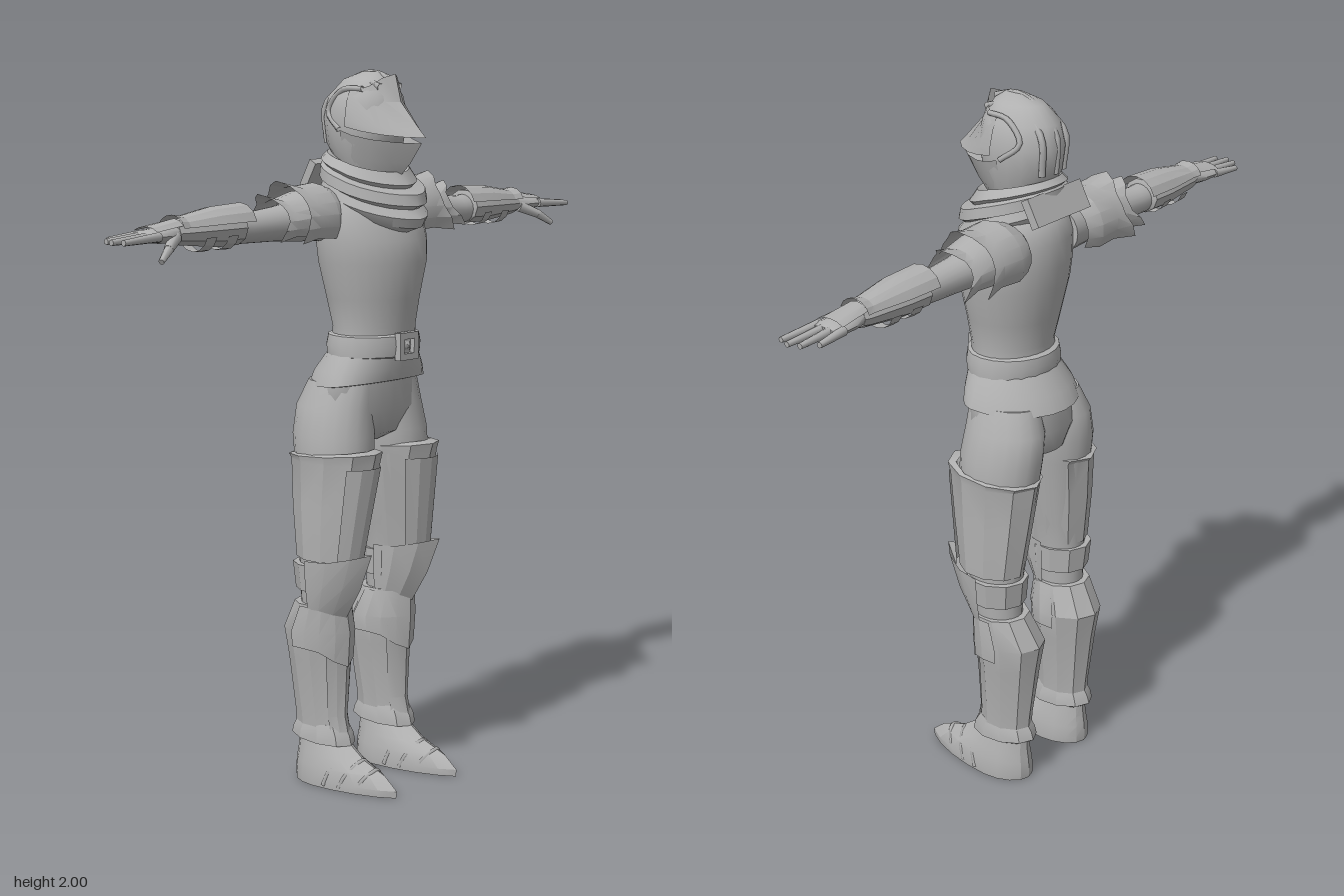
import * as THREE from 'three';
import { toCreasedNormals } from 'three/addons/utils/BufferGeometryUtils.js';

const steel = new THREE.MeshStandardMaterial({ color: 0xb0b0b0, side: THREE.DoubleSide });
steel.name = 'grey steel';

const add = (group, name, geometry) => {
  const mesh = new THREE.Mesh(geometry, steel);
  mesh.name = name;
  group.add(mesh);
  return mesh;
};

// Skin of cross-sections, rows upwards: [y, cx, cz, halfWidth, front, back, tilt, push, lift].
// Angle 0 is the front; mid and span select an arc; push and lift raise points round the arc.
function loft(rows, { n = 20, mid = 0, span = Math.PI * 2, sharp = 0, k = 1, crease = 0.9, cap = true, alongX = false } = {}) {
  const full = span > 6.28, pos = [], index = [];
  const cols = full ? n : n + 1;
  for (const [y, cx, cz, rx, zf, zb, tilt = 0, push = 0, lift = 0] of rows) {
    for (let j = 0; j < cols; j++) {
      const a = mid + (full ? 0 : -span / 2) + (span * j) / n;
      const c = Math.cos(a), s = Math.sin(a);
      const wave = Math.cos(k * (a - mid));
      const p = (k > 1 ? Math.abs(wave) : Math.max(0, wave)) ** 4;
      const front = c * (1 - sharp) + (1 - Math.abs(s)) * sharp;
      const m = 1 + lift * p;
      pos.push(cx + rx * s * m, y + tilt * c + push * p, cz + (c > 0 ? zf * front : zb * c) * m);
    }
  }
  for (let i = 0; i < rows.length - 1; i++) {
    for (let j = 0; j < n; j++) {
      const a = i * cols + j, b = i * cols + ((j + 1) % cols);
      index.push(a, b, a + cols, b, b + cols, a + cols);
    }
  }
  if (full && cap) {
    for (const i of [0, rows.length - 1]) {
      const centre = pos.length / 3;
      pos.push(rows[i][1], rows[i][0], rows[i][2]);
      for (let j = 0; j < n; j++) {
        const a = i * cols + j, b = i * cols + ((j + 1) % cols);
        if (i) index.push(a, b, centre);
        else index.push(b, a, centre);
      }
    }
  }
  const g = new THREE.BufferGeometry();
  g.setAttribute('position', new THREE.Float32BufferAttribute(pos, 3));
  g.setIndex(index);
  if (alongX) g.rotateZ(-Math.PI / 2);
  return toCreasedNormals(g, crease);
}

function tube(points, r, sides = 6) {
  const curve = new THREE.CatmullRomCurve3(points.map((p) => new THREE.Vector3(...p)));
  return new THREE.TubeGeometry(curve, 14, r, sides);
}

// Tapered rod between two points
function rod(from, to, r0, r1) {
  const a = new THREE.Vector3(...from), b = new THREE.Vector3(...to), d = b.clone().sub(a);
  const g = new THREE.CylinderGeometry(r1, r0, d.length(), 8);
  g.applyQuaternion(new THREE.Quaternion().setFromUnitVectors(new THREE.Vector3(0, 1, 0), d.normalize()));
  const c = a.add(b).multiplyScalar(0.5);
  return g.translate(c.x, c.y, c.z);
}

function buildHead(g) {
  add(g, 'neck', loft([[1.64, 0, -0.04, 0.06, 0.06, 0.06], [1.8, 0, -0.03, 0.06, 0.06, 0.06]]));
  add(g, 'helmetDome', loft([
    [1.74, 0, -0.02, 0.08, 0.07, 0.09], [1.8, 0, -0.02, 0.1, 0.09, 0.13], [1.87, 0, -0.02, 0.104, 0.11, 0.14],
    [1.93, 0, -0.02, 0.09, 0.095, 0.125], [1.975, 0, -0.015, 0.055, 0.065, 0.085], [1.995, 0, -0.01, 0.02, 0.03, 0.03]]));
  add(g, 'faceGuard', loft([
    [1.735, 0, -0.02, 0.075, 0.115, 0.1, -0.02], [1.77, 0, -0.02, 0.09, 0.15, 0.1, -0.02],
    [1.835, 0, -0.02, 0.108, 0.19, 0.1, -0.03]], { n: 8, span: 3.4, sharp: 0.6, crease: 0.4 }));
  add(g, 'visor', loft([
    [1.85, 0, -0.02, 0.11, 0.205, 0.1, -0.03], [1.865, 0, -0.02, 0.11, 0.18, 0.1, -0.02],
    [1.915, 0, -0.02, 0.099, 0.115, 0.1], [1.945, 0, -0.02, 0.085, 0.095, 0.1, 0, 0.045]],
  { n: 8, span: 3, sharp: 0.45, crease: 0.4 }));
  // Raised combs running over the crown
  for (const x of [-0.04, 0, 0.04]) {
    const h = Math.abs(x) * 0.5;
    add(g, 'crownComb', tube([[x, 1.975 - h, 0.055], [x, 1.992 - h, -0.01], [x, 1.965 - h, -0.09],
      [x * 1.2, 1.9, -0.148 + h * 0.5], [x * 1.1, 1.8, -0.145 + h * 0.5]], 0.01));
  }
  for (const s of [-1, 1]) {
    add(g, 'sideComb', tube([[s * 0.072, 1.95, 0.02], [s * 0.08, 1.945, -0.05], [s * 0.085, 1.89, -0.095],
      [s * 0.102, 1.84, -0.04]], 0.008));
  }
}

function buildTrunk(g) {
  add(g, 'torso', loft([
    [1.26, 0, 0, 0.128, 0.1, 0.112], [1.3, 0, 0, 0.125, 0.105, 0.11], [1.38, 0, 0, 0.14, 0.115, 0.13],
    [1.48, 0, 0, 0.163, 0.132, 0.152], [1.54, 0, 0, 0.168, 0.125, 0.16], [1.61, 0, 0, 0.165, 0.1, 0.163],
    [1.67, 0, -0.01, 0.14, 0.07, 0.14], [1.71, 0, -0.02, 0.08, 0.05, 0.08]], { n: 28 }));
  // Wrapped scarf, hanging lower at the front
  add(g, 'scarf', loft([
    [1.615, 0, 0, 0.1, 0.11, 0.12, -0.055], [1.625, 0, 0, 0.13, 0.155, 0.14, -0.05], [1.65, 0, 0, 0.148, 0.165, 0.15, -0.05],
    [1.675, 0, 0, 0.138, 0.14, 0.14, -0.05], [1.68, 0, 0, 0.152, 0.158, 0.152, -0.045], [1.71, 0, 0, 0.148, 0.15, 0.15, -0.045],
    [1.72, 0, -0.01, 0.125, 0.12, 0.135, -0.04], [1.73, 0, -0.01, 0.135, 0.13, 0.145, -0.04],
    [1.755, 0, -0.01, 0.115, 0.105, 0.13, -0.03], [1.74, 0, -0.01, 0.08, 0.08, 0.1, -0.03]],
  { n: 24, sharp: 0.2, crease: 0.7, cap: false }));
  const collar = new THREE.BoxGeometry(0.22, 0.08, 0.025);
  collar.rotateX(0.5).translate(0, 1.715, -0.15);
  add(g, 'backCollar', collar);

  add(g, 'belt', loft([
    [1.215, 0, 0, 0.125, 0.1, 0.11], [1.222, 0, 0, 0.142, 0.113, 0.125], [1.25, 0, 0, 0.142, 0.118, 0.13],
    [1.278, 0, 0, 0.136, 0.115, 0.125], [1.284, 0, 0, 0.12, 0.1, 0.11]], { crease: 0.6, cap: false }));
  const frame = new THREE.Shape([[-0.038, -0.038], [0.038, -0.038], [0.038, 0.038], [-0.038, 0.038]].map((p) => new THREE.Vector2(...p)));
  frame.holes.push(new THREE.Path([[-0.02, -0.02], [-0.02, 0.02], [0.02, 0.02], [0.02, -0.02]].map((p) => new THREE.Vector2(...p))));
  const buckle = new THREE.ExtrudeGeometry(frame, { depth: 0.02, bevelEnabled: false });
  add(g, 'buckle', buckle.translate(0, 1.25, 0.108));
  const stud = new THREE.ConeGeometry(0.022, 0.018, 4);
  add(g, 'buckleStud', stud.rotateY(Math.PI / 4).rotateX(Math.PI / 2).translate(0, 1.25, 0.122));

  add(g, 'tunicSkirt', loft([
    [1.14, 0, 0, 0.165, 0.075, 0.17, 0.01], [1.142, 0, 0, 0.182, 0.09, 0.187, 0.012], [1.18, 0, 0, 0.168, 0.1, 0.168, 0.005],
    [1.235, 0, 0, 0.135, 0.106, 0.12]], { n: 24, crease: 0.8, cap: false }));
  add(g, 'pelvis', loft([
    [0.975, 0, -0.04, 0.05, 0.04, 0.07], [1.0, 0, -0.03, 0.12, 0.075, 0.125], [1.07, 0, -0.02, 0.183, 0.09, 0.155],
    [1.17, 0, -0.01, 0.163, 0.085, 0.155]], { n: 24, crease: 1.2 }));
}

function buildLeg(g) {
  add(g, 'leg', loft([
    [0.45, 0.135, -0.07, 0.06, 0.06, 0.065], [0.6, 0.14, -0.055, 0.068, 0.08, 0.08], [0.72, 0.135, -0.045, 0.078, 0.09, 0.1],
    [0.93, 0.115, -0.04, 0.1, 0.11, 0.13], [1.0, 0.112, -0.045, 0.101, 0.112, 0.135], [1.08, 0.1, -0.05, 0.092, 0.11, 0.13],
    [1.15, 0.085, -0.04, 0.08, 0.1, 0.11]]));
  add(g, 'thighGuard', loft([
    [0.655, 0.143, -0.04, 0.078, 0.095, 0.105], [0.8, 0.133, -0.04, 0.09, 0.12, 0.125],
    [0.93, 0.12, -0.04, 0.101, 0.143, 0.138], [0.95, 0.121, -0.04, 0.104, 0.152, 0.147, 0.01],
    [0.955, 0.12, -0.04, 0.096, 0.12, 0.13, 0.01]], { n: 10, crease: 0.4, cap: false }));
  // Front panel of the thigh guard
  add(g, 'thighPanel', loft([
    [0.66, 0.143, -0.04, 0.084, 0.107, 0.1], [0.92, 0.122, -0.04, 0.105, 0.148, 0.14]], { n: 4, span: 1.5, crease: 0.4 }));
  add(g, 'kneeGuard', loft([
    [0.515, 0.14, -0.06, 0.076, 0.08, 0.08, 0, -0.025], [0.58, 0.143, -0.06, 0.083, 0.135, 0.08],
    [0.655, 0.145, -0.06, 0.086, 0.178, 0.08, 0, 0.028]], { n: 6, span: 3.1, sharp: 0.3, crease: 0.3 }));
  add(g, 'kneeBand', loft([
    [0.565, 0.141, -0.055, 0.079, 0.07, 0.092], [0.64, 0.143, -0.055, 0.084, 0.08, 0.1]], { n: 10, crease: 0.4 }));
  add(g, 'greave', loft([
    [0.13, 0.13, -0.08, 0.058, 0.08, 0.085], [0.2, 0.13, -0.082, 0.06, 0.075, 0.088], [0.36, 0.128, -0.09, 0.078, 0.085, 0.1],
    [0.44, 0.128, -0.09, 0.09, 0.098, 0.114], [0.525, 0.137, -0.07, 0.077, 0.078, 0.085]], { n: 10, crease: 0.4 }));
  add(g, 'shinPlate', loft([
    [0.13, 0.13, -0.08, 0.062, 0.1, 0.09], [0.2, 0.13, -0.082, 0.063, 0.085, 0.09], [0.36, 0.128, -0.09, 0.082, 0.1, 0.1],
    [0.42, 0.128, -0.09, 0.09, 0.11, 0.11]], { n: 4, span: 1.4, sharp: 0.2, crease: 0.3 }));
  add(g, 'shinCap', loft([
    [0.4, 0.13, -0.09, 0.092, 0.106, 0.11, 0, -0.055], [0.445, 0.13, -0.09, 0.094, 0.113, 0.118],
    [0.52, 0.137, -0.07, 0.08, 0.086, 0.09]], { n: 8, span: 3.6, sharp: 0.15, crease: 0.4 }));
  add(g, 'ankleCuff', loft([
    [0.122, 0.13, -0.08, 0.055, 0.08, 0.09], [0.125, 0.13, -0.08, 0.067, 0.107, 0.105, -0.008], [0.15, 0.13, -0.08, 0.065, 0.1, 0.098, -0.005],
    [0.175, 0.13, -0.08, 0.057, 0.08, 0.085]], { n: 10, crease: 0.4 }));
  // Pointed boot with overlapping lames
  add(g, 'boot', loft([
    [0, 0.13, -0.06, 0.07, 0.255, 0.108], [0.02, 0.13, -0.06, 0.071, 0.258, 0.11], [0.055, 0.13, -0.06, 0.067, 0.215, 0.108],
    [0.085, 0.13, -0.06, 0.061, 0.135, 0.103], [0.13, 0.13, -0.07, 0.05, 0.08, 0.09]], { n: 16, sharp: 0.35, crease: 0.5 }));
  for (const [z, w, h] of [[0.02, 0.066, 0.1], [0.07, 0.057, 0.082], [0.12, 0.042, 0.066]]) {
    add(g, 'bootLame', tube([[0.13 - w, 0.008, z - 0.04], [0.13 - w * 0.8, h * 0.6, z - 0.02], [0.13, h, z],
      [0.13 + w * 0.8, h * 0.6, z - 0.02], [0.13 + w, 0.008, z - 0.04]], 0.007, 5));
  }
}

function buildArm(g) {
  const X = { alongX: true }, top = -Math.PI / 2, z = -0.075;
  add(g, 'arm', loft([
    [0.1, -1.6, z, 0.065, 0.07, 0.07], [0.2, -1.6, z, 0.06, 0.062, 0.062], [0.32, -1.595, z, 0.047, 0.05, 0.05],
    [0.44, -1.59, z, 0.04, 0.042, 0.042], [0.54, -1.595, z, 0.043, 0.046, 0.046], [0.7, -1.595, z, 0.026, 0.034, 0.034]], X));
  // Layered shoulder guard with spiked edges
  const spiked = { ...X, n: 12, mid: top, span: 4.19, k: 1.5, crease: 0.4 };
  add(g, 'shoulderGuard', loft([
    [0.12, -1.6, z, 0.08, 0.085, 0.09], [0.17, -1.6, z, 0.098, 0.1, 0.105], [0.24, -1.6, z, 0.092, 0.098, 0.1],
    [0.275, -1.6, z, 0.09, 0.095, 0.098, 0, 0.04, 0.22]], spiked));
  add(g, 'shoulderLame', loft([
    [0.23, -1.6, z, 0.08, 0.088, 0.088], [0.31, -1.595, z, 0.065, 0.08, 0.08], [0.335, -1.595, z, 0.064, 0.075, 0.075, 0, 0.05, 0.3]], spiked));
  add(g, 'gauntlet', loft([
    [0.47, -1.593, z, 0.04, 0.045, 0.045], [0.475, -1.597, z, 0.049, 0.055, 0.058], [0.55, -1.597, z, 0.05, 0.056, 0.058],
    [0.68, -1.595, z, 0.034, 0.04, 0.042], [0.7, -1.595, z, 0.03, 0.036, 0.036]], { ...X, n: 10, crease: 0.4 }));
  add(g, 'forearmPlate', loft([
    [0.45, -1.6, z, 0.06, 0.064, 0.066], [0.56, -1.6, z, 0.055, 0.062, 0.064], [0.67, -1.6, z, 0.037, 0.044, 0.046],
    [0.7, -1.6, z, 0.042, 0.05, 0.05]], { ...X, n: 6, mid: top, span: 2.7, crease: 0.3 }));
  for (const x of [0.51, 0.59]) {
    add(g, 'forearmStrap', loft([
      [x, -1.595, z, 0.056, 0.058, 0.06], [x + 0.035, -1.595, z, 0.054, 0.056, 0.058]],
    { ...X, n: 6, mid: -top, span: 2.6, crease: 0.4 }));
  }
  // Hand, fingers towards the outside, thumb forward and down
  add(g, 'palm', loft([
    [0.685, -1.595, z, 0.024, 0.032, 0.032], [0.74, -1.592, z, 0.022, 0.044, 0.044], [0.79, -1.592, z, 0.017, 0.048, 0.048],
    [0.81, -1.59, z, 0.01, 0.046, 0.046]], { ...X, n: 12 }));
  add(g, 'handPlate', loft([
    [0.69, -1.6, z, 0.032, 0.04, 0.04], [0.79, -1.595, z, 0.022, 0.05, 0.05]], { ...X, n: 4, mid: top, span: 2.2, crease: 0.3 }));
  [0.875, 0.91, 0.922, 0.91].forEach((tip, i) => {
    const fz = -0.113 + i * 0.026;
    add(g, 'finger', rod([0.78, 1.592, fz], [tip, 1.586, fz + (i - 1.5) * 0.006], 0.013, 0.008));
  });
  add(g, 'thumb', rod([0.71, 1.585, -0.05], [0.765, 1.56, -0.018], 0.017, 0.013));
  add(g, 'thumbTip', rod([0.76, 1.562, -0.02], [0.805, 1.533, -0.002], 0.013, 0.008));
}

export function createModel() {
  const model = new THREE.Group();
  model.name = 'armouredFigure';
  const part = (name, build) => {
    const g = new THREE.Group();
    g.name = name;
    build(g);
    model.add(g);
    return g;
  };
  part('head', buildHead);
  part('trunk', buildTrunk);
  for (const [name, build] of [['Leg', buildLeg], ['Arm', buildArm]]) {
    part('left' + name, build);
    part('right' + name, build).scale.x = -1;
  }
  return model;
}
